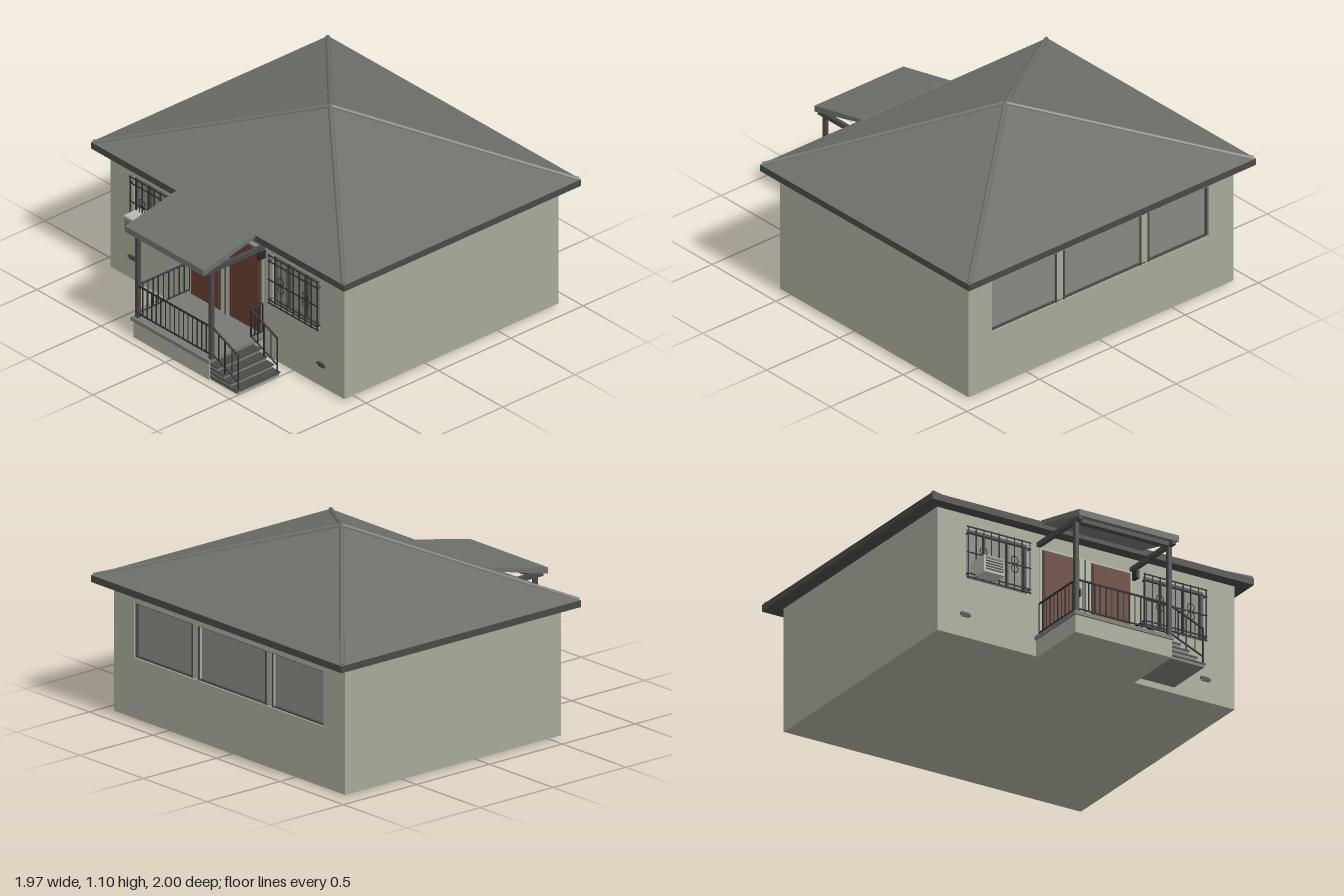
import * as THREE from 'three';

const mat = (name, color, side = THREE.FrontSide) =>
  Object.assign(new THREE.MeshStandardMaterial({ color, side }), { name });

export function createModel() {
  const house = new THREE.Group();
  house.name = 'house';
  const wall = mat('plaster', 0xa6a99a);
  const roofMat = mat('roof felt', 0x6d706a, THREE.DoubleSide);
  const trim = mat('dark trim', 0x484a45);
  const iron = mat('iron', 0x2a2b29);
  const brown = mat('brown door', 0x633c2c);
  const glass = mat('window pane', 0x868980);
  const stone = mat('step concrete', 0x777a72);
  const pale = mat('pale paint', 0xb4b7aa);

  const add = (name, geo, material, parent = house) => {
    const m = new THREE.Mesh(geo, material);
    m.name = name;
    parent.add(m);
    return m;
  };
  // box given by its minimum and maximum on each axis
  const box = (name, x0, x1, y0, y1, z0, z1, material, parent) => {
    const m = add(name, new THREE.BoxGeometry(x1 - x0, y1 - y0, z1 - z0), material, parent);
    m.position.set((x0 + x1) / 2, (y0 + y1) / 2, (z0 + z1) / 2);
    return m;
  };
  // square or round bar between two points
  const bar = (name, a, b, r, material, parent, sides = 5) => {
    const p = new THREE.Vector3(...a), q = new THREE.Vector3(...b);
    const m = add(name, new THREE.CylinderGeometry(r, r, p.distanceTo(q), sides), material, parent);
    m.position.copy(p).add(q).multiplyScalar(0.5);
    m.quaternion.setFromUnitVectors(new THREE.Vector3(0, 1, 0), q.sub(p).normalize());
    return m;
  };
  // wall sheet with rectangular openings
  const sheet = (name, z, holes) => {
    const rect = (P, x0, x1, y0, y1) => {
      const p = new P();
      p.moveTo(x0, y0); p.lineTo(x1, y0); p.lineTo(x1, y1); p.lineTo(x0, y1); p.closePath();
      return p;
    };
    const s = rect(THREE.Shape, -0.91, 0.91, 0.01, 0.72);
    holes.forEach(h => s.holes.push(rect(THREE.Path, ...h)));
    add(name, new THREE.ExtrudeGeometry(s, { depth: 0.03, bevelEnabled: false }), wall).position.z = z;
  };

  // walls
  box('wallCore', -0.91, 0.91, 0.01, 0.72, -0.88, 0.54, wall);
  sheet('frontWall', 0.54, [[-0.73, -0.36, 0.35, 0.63], [0.35, 0.72, 0.35, 0.63]]);
  sheet('backWall', -0.91, [[-0.74, 0.75, 0.34, 0.64]]);

  // hipped roof
  const apex = [-0.01, 1.085, -0.15];
  const corners = [[-0.985, 0.75, 0.64], [0.985, 0.75, 0.64], [0.985, 0.75, -1], [-0.985, 0.75, -1]];
  const tri = [];
  corners.forEach((c, i) => tri.push(...c, ...corners[(i + 1) % 4], ...apex));
  const roofGeo = new THREE.BufferGeometry();
  roofGeo.setAttribute('position', new THREE.Float32BufferAttribute(tri, 3));
  roofGeo.computeVertexNormals();
  add('roof', roofGeo, roofMat);
  box('eaves', -0.985, 0.985, 0.712, 0.75, -1, 0.64, trim);
  corners.forEach(c => bar('hipCap', [c[0] * 0.99, c[1], c[2] * 0.99], apex, 0.013, roofMat, house, 8));

  // barred front windows
  for (const cx of [-0.545, 0.535]) {
    const w = new THREE.Group();
    w.name = 'frontWindow';
    w.position.x = cx;
    house.add(w);
    box('pane', -0.185, 0.185, 0.35, 0.63, 0.541, 0.546, glass, w);
    for (const x of [-0.18, -0.07, 0.07, 0.18]) box('sashPost', x - 0.006, x + 0.006, 0.35, 0.63, 0.546, 0.56, trim, w);
    for (const y of [0.356, 0.624]) box('sashRail', -0.185, 0.185, y - 0.006, y + 0.006, 0.546, 0.56, trim, w);
    for (const y of [0.35, 0.37, 0.49, 0.6, 0.635]) bar('grilleRail', [-0.195, y, 0.592], [0.195, y, 0.592], 0.004, iron, w);
    for (let i = 0; i < 9; i++) {
      const x = -0.188 + i * 0.047;
      bar('grilleBar', [x, 0.345, 0.592], [x, 0.64, 0.592], 0.0035, iron, w);
    }
    for (const x of [-0.095, 0.095]) for (const y of [0.465, 0.515]) {
      const t = add('grilleScroll', new THREE.TorusGeometry(0.022, 0.003, 4, 8), iron, w);
      t.position.set(x, y, 0.592);
    }
    for (const x of [-0.188, 0.188]) for (const y of [0.37, 0.6]) bar('grilleBracket', [x, y, 0.565], [x, y, 0.592], 0.004, iron, w);
  }

  // long back window
  box('backPane', -0.74, 0.75, 0.34, 0.64, -0.885, -0.88, glass);
  for (const x of [-0.305, 0.275]) {
    box('backMullion', x - 0.03, x + 0.03, 0.34, 0.64, -0.9, -0.885, wall);
    for (const d of [-0.027, 0.027]) box('mullionEdge', x + d - 0.004, x + d + 0.004, 0.34, 0.64, -0.905, -0.9, trim);
  }
  for (const x of [-0.736, 0.746]) box('backFrameSide', x - 0.004, x + 0.004, 0.34, 0.64, -0.9, -0.885, trim);
  for (const y of [0.344, 0.636]) box('backFrameRail', -0.74, 0.75, y - 0.004, y + 0.004, -0.9, -0.885, trim);

  // air conditioner
  box('airConditioner', -0.69, -0.565, 0.36, 0.455, 0.546, 0.675, pale);
  for (let i = 0; i < 4; i++) box('coolerSlat', -0.68, -0.575, 0.375 + i * 0.015, 0.381 + i * 0.015, 0.675, 0.68, trim);
  box('coolerPanel', -0.68, -0.575, 0.435, 0.447, 0.675, 0.68, stone);

  // foundation vents
  for (const x of [-0.74, 0.73]) {
    box('vent', x - 0.022, x + 0.022, 0.125, 0.152, 0.57, 0.575, trim);
    box('ventLip', x - 0.032, x + 0.032, 0.133, 0.145, 0.57, 0.577, trim);
  }

  // paired doors
  box('doorSurround', -0.285, 0.28, 0.12, 0.635, 0.57, 0.575, pale);
  for (const [x0, x1] of [[-0.265, -0.055], [0.035, 0.26]]) {
    box('doorFrame', x0 - 0.008, x1 + 0.008, 0.13, 0.622, 0.575, 0.58, trim);
    box('door', x0, x1, 0.14, 0.615, 0.58, 0.587, brown);
  }
  box('doorSeam', -0.012, -0.006, 0.12, 0.63, 0.575, 0.579, trim);
  box('doorHandle', -0.052, -0.044, 0.41, 0.45, 0.577, 0.595, iron);
  box('porchLamp', 0.28, 0.3, 0.59, 0.635, 0.57, 0.615, iron);

  // porch floor and roof
  box('porchBase', -0.305, 0.285, 0, 0.1, 0.57, 0.95, wall);
  box('porchSlab', -0.315, 0.29, 0.1, 0.12, 0.57, 0.96, stone);
  const side = new THREE.Shape([[0.57, 0.735], [0.64, 0.735], [1, 0.645], [1, 0.68], [0.64, 0.757], [0.57, 0.757]]
    .map(p => new THREE.Vector2(-p[0], p[1])));
  const awning = add('porchRoof', new THREE.ExtrudeGeometry(side, { depth: 0.61, bevelEnabled: false }), roofMat);
  awning.rotation.y = Math.PI / 2;
  awning.position.x = -0.313;
  box('frontBeam', -0.3, 0.29, 0.635, 0.66, 0.915, 0.95, trim);
  for (const x of [-0.29, 0.28]) {
    box('sideBeam', x - 0.012, x + 0.012, 0.635, 0.66, 0.57, 0.98, trim);
    box('porchPost', x - 0.011, x + 0.011, 0.12, 0.635, 0.92, 0.942, trim);
  }

  // porch railing
  const railing = (a, b, n, ya, yb, low) => {
    const at = (t, y) => [a[0] + (b[0] - a[0]) * t, y + (yb - ya) * t, a[1] + (b[1] - a[1]) * t];
    bar('handrail', at(0, ya), at(1, ya), 0.006, iron);
    bar('lowerRail', at(0, low), at(1, low), 0.005, iron);
    for (let i = 0; i <= n; i++) bar('baluster', at(i / n, low), at(i / n, ya), 0.0035, iron);
  };
  railing([-0.285, 0.935], [0.28, 0.935], 16, 0.31, 0.31, 0.145);
  railing([-0.29, 0.575], [-0.29, 0.935], 10, 0.31, 0.31, 0.145);
  railing([0.28, 0.575], [0.28, 0.66], 3, 0.31, 0.31, 0.145);

  // steps and sloping rails
  for (let i = 0; i < 4; i++) {
    box('step', 0.285, 0.34 + i * 0.05, 0, 0.095 - i * 0.025, 0.65, 0.94, stone);
    box('stepNosing', 0.285, 0.345 + i * 0.05, 0.09 - i * 0.025, 0.098 - i * 0.025, 0.645, 0.945, trim);
  }
  for (const z of [0.66, 0.93]) {
    railing([0.285, z], [0.49, z], 4, 0.31, 0.225, 0.15);
    bar('stepPost', [0.488, 0.02, z], [0.488, 0.23, z], 0.005, iron);
    bar('stepPost', [0.385, 0.06, z], [0.385, 0.27, z], 0.005, iron);
  }
  return house;
}
